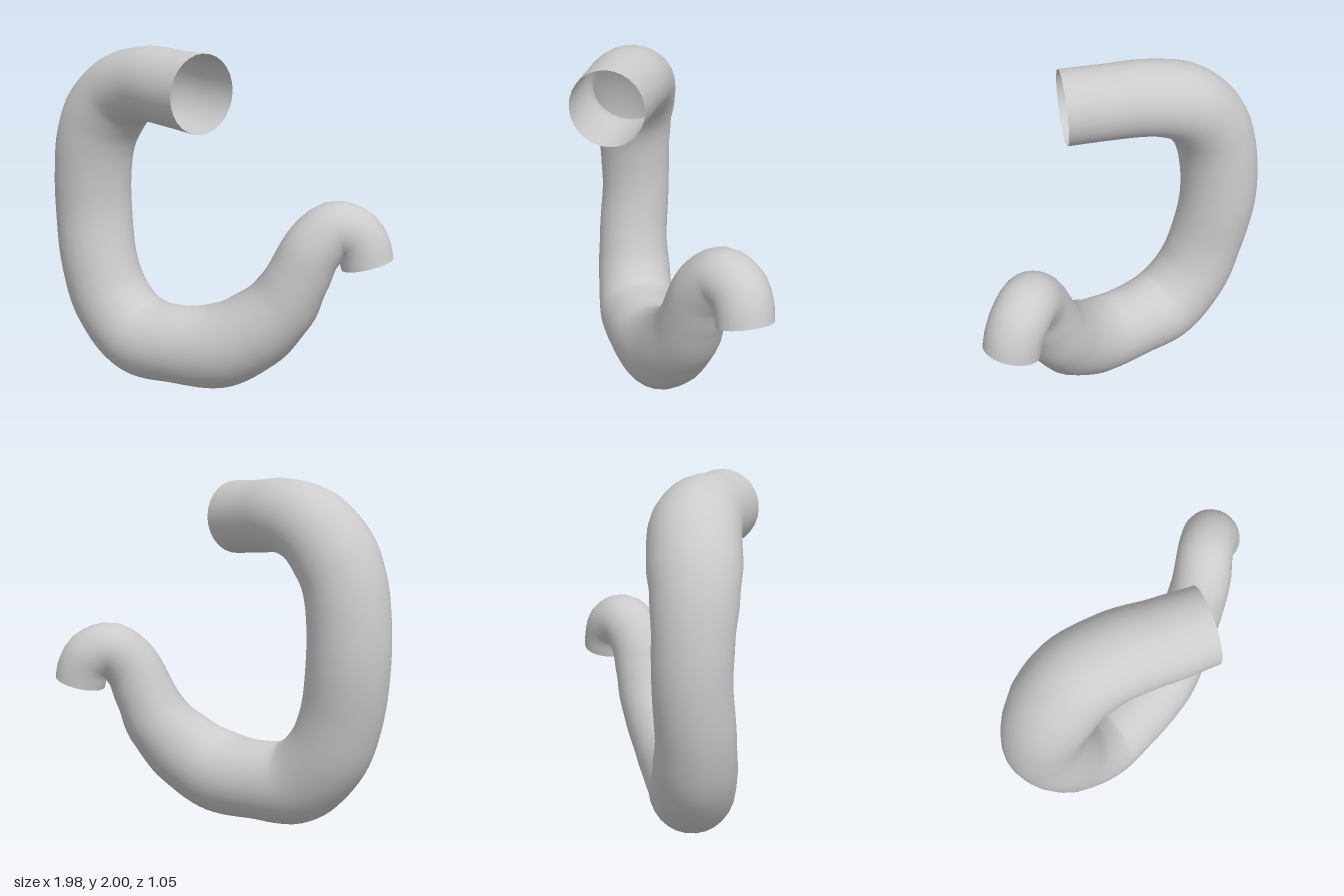
import * as THREE from 'three';

// Centre line of the pipe: x, y, z, radius, sideways widening, heading in degrees
const PATH = [
  [-0.09, 1.772, 0.38, 0.218, 0.98, 48],
  [-0.24, 1.78, 0.2, 0.212, 1.06, 48],
  [-0.4, 1.785, 0.0, 0.213, 1.11, 47],
  [-0.56, 1.72, -0.158, 0.222, 1.12, 45],
  [-0.672, 1.58, -0.238, 0.232, 1.08, 42],
  [-0.73, 1.43, -0.278, 0.235, 0.99, 38],
  [-0.757, 1.22, -0.305, 0.24, 0.9, 35],
  [-0.757, 0.98, -0.308, 0.243, 0.87, 35],
  [-0.725, 0.68, -0.26, 0.24, 0.9, 35],
  [-0.645, 0.45, -0.205, 0.24, 0.96, 35],
  [-0.48, 0.272, -0.105, 0.246, 0.97, 33],
  [-0.25, 0.242, 0.01, 0.233, 0.97, 28],
  [0, 0.27, 0.115, 0.251, 0.86, 20],
  [0.2, 0.38, 0.165, 0.234, 0.86, 10],
  [0.36, 0.54, 0.186, 0.205, 0.92, 4],
  [0.45, 0.71, 0.2, 0.182, 1, 0],
  [0.53, 0.875, 0.203, 0.172, 1.02, 0],
  [0.65, 0.982, 0.18, 0.163, 1.02, 0],
  [0.768, 0.946, 0.17, 0.161, 1.03, 0],
  [0.82, 0.873, 0.176, 0.156, 1.05, 0],
  [0.844, 0.782, 0.184, 0.151, 1.08, 0],
];
const SEGMENTS = 120;
const SIDES = 28;

export function createModel() {
  const group = new THREE.Group();
  group.name = 'bentPipe';
  const material = new THREE.MeshStandardMaterial({ color: 0xcccccc, side: THREE.DoubleSide });

  const curve = new THREE.CatmullRomCurve3(PATH.map(([x, y, z]) => new THREE.Vector3(x, y, z)));
  curve.arcLengthDivisions = 600;

  // One column of the path table, eased between the listed values
  const valueAt = (u, column) => {
    const s = curve.getUtoTmapping(u) * (PATH.length - 1);
    const i = Math.min(Math.floor(s), PATH.length - 2);
    return THREE.MathUtils.lerp(PATH[i][column], PATH[i + 1][column], THREE.MathUtils.smoothstep(s - i, 0, 1));
  };

  // Pipe wall: a unit tube whose rings become ellipses of the local size
  const wall = new THREE.TubeGeometry(curve, SEGMENTS, 1, SIDES, false);
  const pos = wall.attributes.position;
  const p = new THREE.Vector3();
  for (let i = 0; i <= SEGMENTS; i++) {
    const u = i / SEGMENTS;
    const centre = curve.getPointAt(u);
    const heading = THREE.MathUtils.degToRad(valueAt(u, 5));
    const sideways = new THREE.Vector3(-Math.sin(heading), 0, Math.cos(heading));
    const r = valueAt(u, 3);
    const w = valueAt(u, 4);
    for (let j = 0; j <= SIDES; j++) {
      const k = i * (SIDES + 1) + j;
      p.fromBufferAttribute(pos, k).sub(centre).multiplyScalar(r);
      p.addScaledVector(sideways, p.dot(sideways) * (w - 1)).add(centre);
      pos.setXYZ(k, p.x, p.y, p.z);
    }
  }
  const pipe = new THREE.Mesh(wall, material);
  pipe.name = 'pipeWall';
  group.add(pipe);

  // Flat cap closing the narrow end, fanned from the last ring; the wide end stays open
  const rim = [];
  for (let j = 0; j < SIDES; j++) {
    rim.push(new THREE.Vector3().fromBufferAttribute(pos, SEGMENTS * (SIDES + 1) + j));
  }
  const capGeometry = new THREE.BufferGeometry().setFromPoints(rim);
  const fan = [];
  for (let j = 1; j < SIDES - 1; j++) fan.push(0, j, j + 1);
  capGeometry.setIndex(fan);
  capGeometry.computeVertexNormals();
  const cap = new THREE.Mesh(capGeometry, material);
  cap.name = 'endCap';
  group.add(cap);

  return group;
}
